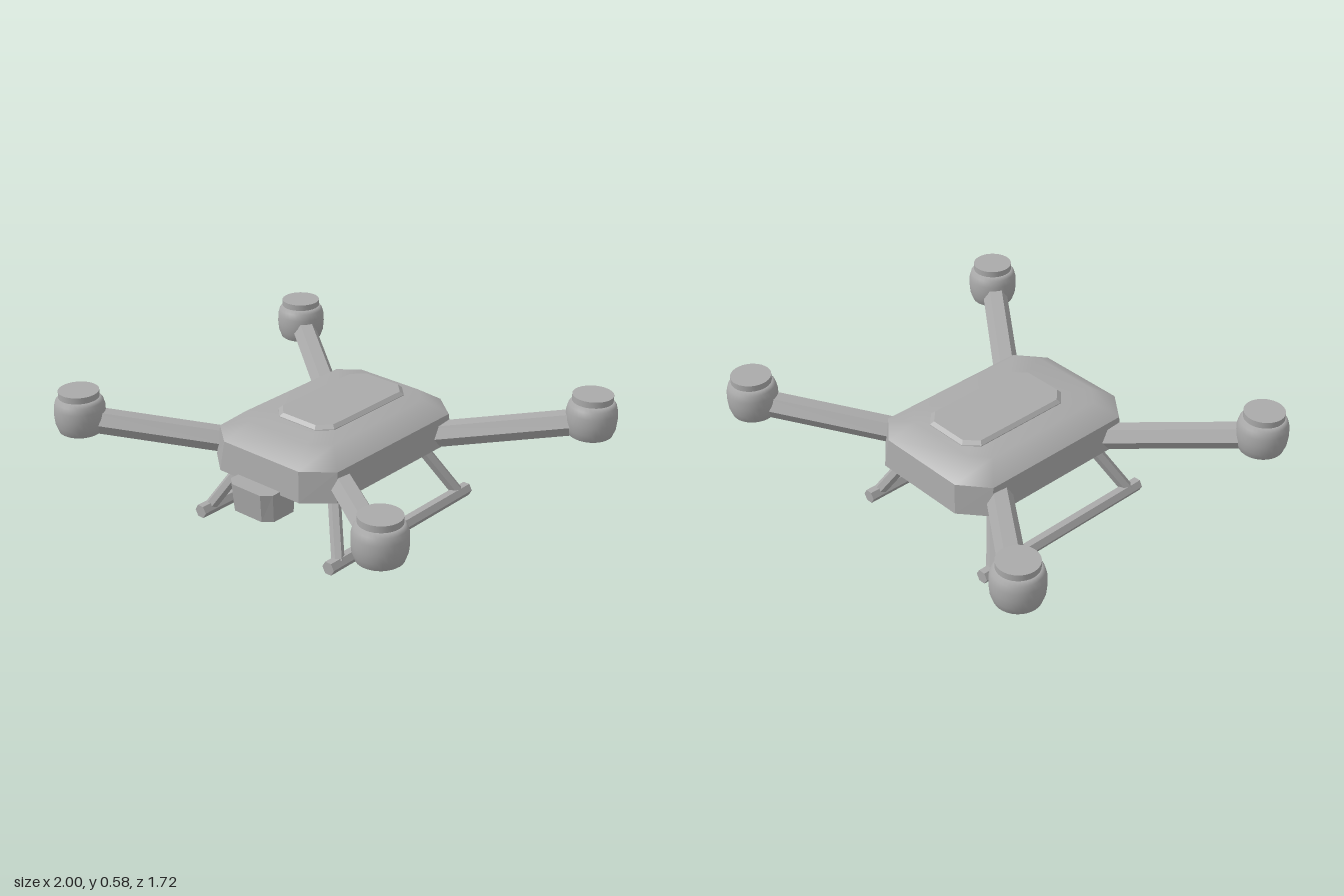
import * as THREE from 'three';

const grey = new THREE.MeshStandardMaterial({ color: 0xaaaaaa });
grey.name = 'grey plastic';

// Stacked octagonal rings: { y, x, z (half sizes), cx, cz (corner cuts) }
function loft(rings, { smooth = false, bottom = true } = {}) {
  const pos = [], idx = [];
  for (const { y, x, z, cx, cz } of rings) {
    const a = x - cx, b = z - cz;
    for (const [px, pz] of [[x, -b], [x, b], [a, z], [-a, z], [-x, b], [-x, -b], [-a, -z], [a, -z]]) pos.push(px, y, pz);
  }
  const last = rings.length - 1, lowC = rings.length * 8, topC = lowC + 1;
  pos.push(0, rings[0].y, 0, 0, rings[last].y, 0);
  for (let i = 0; i < 8; i++) {
    const j = (i + 1) % 8;
    for (let r = 0; r < last; r++) {
      const a = r * 8 + i, b = r * 8 + j, d = a + 8, c = b + 8;
      idx.push(a, d, b, b, d, c);
    }
    if (bottom) idx.push(lowC, i, j);
    idx.push(topC, last * 8 + j, last * 8 + i);
  }
  let g = new THREE.BufferGeometry();
  g.setAttribute('position', new THREE.Float32BufferAttribute(pos, 3));
  g.setIndex(idx);
  if (!smooth) g = g.toNonIndexed();
  g.computeVertexNormals();
  return g;
}

function part(parent, name, geometry, x = 0, y = 0, z = 0) {
  const m = new THREE.Mesh(geometry, grey);
  m.name = name;
  m.position.set(x, y, z);
  parent.add(m);
  return m;
}

// Hexagonal bar between two points, flat side up
function hexBar(parent, name, from, to, radius) {
  const a = new THREE.Vector3(...from), b = new THREE.Vector3(...to);
  let g = new THREE.CylinderGeometry(radius, radius, a.distanceTo(b), 6);
  g.rotateX(Math.PI / 2).rotateZ(Math.PI / 6);
  g = g.toNonIndexed();
  g.computeVertexNormals();
  const m = part(parent, name, g, ...a.clone().add(b).multiplyScalar(0.5).toArray());
  m.lookAt(b);
}

export function createModel() {
  const model = new THREE.Group();
  model.name = 'quadcopter';

  // Hull: faceted lower shell and softly shaded lid
  part(model, 'lowerHull', loft([
    { y: 0.25, x: 0.265, z: 0.405, cx: 0.09, cz: 0.075 },
    { y: 0.3, x: 0.36, z: 0.505, cx: 0.125, cz: 0.105 },
    { y: 0.44, x: 0.35, z: 0.49, cx: 0.13, cz: 0.105 },
  ]));
  part(model, 'upperHull', loft([
    { y: 0.44, x: 0.35, z: 0.49, cx: 0.13, cz: 0.105 },
    { y: 0.512, x: 0.26, z: 0.38, cx: 0.09, cz: 0.075 },
  ], { smooth: true, bottom: false }));

  // Raised battery hatch
  part(model, 'batteryHatch', loft([
    { y: 0.5, x: 0.168, z: 0.302, cx: 0.06, cz: 0.06 },
    { y: 0.515, x: 0.166, z: 0.3, cx: 0.06, cz: 0.06 },
    { y: 0.53, x: 0.15, z: 0.285, cx: 0.055, cz: 0.055 },
  ]), 0, 0, -0.045);

  // Camera under the nose
  part(model, 'camera', loft([
    { y: 0.18, x: 0.12, z: 0.098, cx: 0.04, cz: 0.035 },
    { y: 0.315, x: 0.125, z: 0.11, cx: 0.04, cz: 0.038 },
  ]), 0, 0, 0.477);

  // Motor barrel profile
  const barrel = new THREE.LatheGeometry([
    [0, 0.38], [0.094, 0.38], [0.1, 0.384], [0.113, 0.42], [0.117, 0.46],
    [0.116, 0.5], [0.108, 0.53], [0.094, 0.548], [0, 0.548],
  ].map(p => new THREE.Vector2(...p)), 32);
  const motorCap = new THREE.CylinderGeometry(0.093, 0.093, 0.035, 32);

  for (const sx of [1, -1]) {
    const side = sx > 0 ? 'left' : 'right';
    for (const sz of [1, -1]) {
      const name = side + (sz > 0 ? 'Front' : 'Back');
      // Arm and motor
      hexBar(model, name + 'Arm', [sx * 0.28, 0.345, sz * 0.292], [sx * 0.86, 0.44, sz * 0.733], 0.06);
      part(model, name + 'Motor', barrel, sx * 0.883, 0, sz * 0.743);
      part(model, name + 'MotorCap', motorCap, sx * 0.883, 0.56, sz * 0.743);
      // Landing strut
      hexBar(model, name + 'Strut', [sx * 0.255, 0.28, sz * 0.3], [sx * 0.388, 0.035, sz * 0.425], 0.029);
    }
    // Landing skid
    hexBar(model, side + 'Skid', [sx * 0.388, 0.029, -0.49], [sx * 0.388, 0.029, 0.49], 0.033);
  }
  return model;
}
